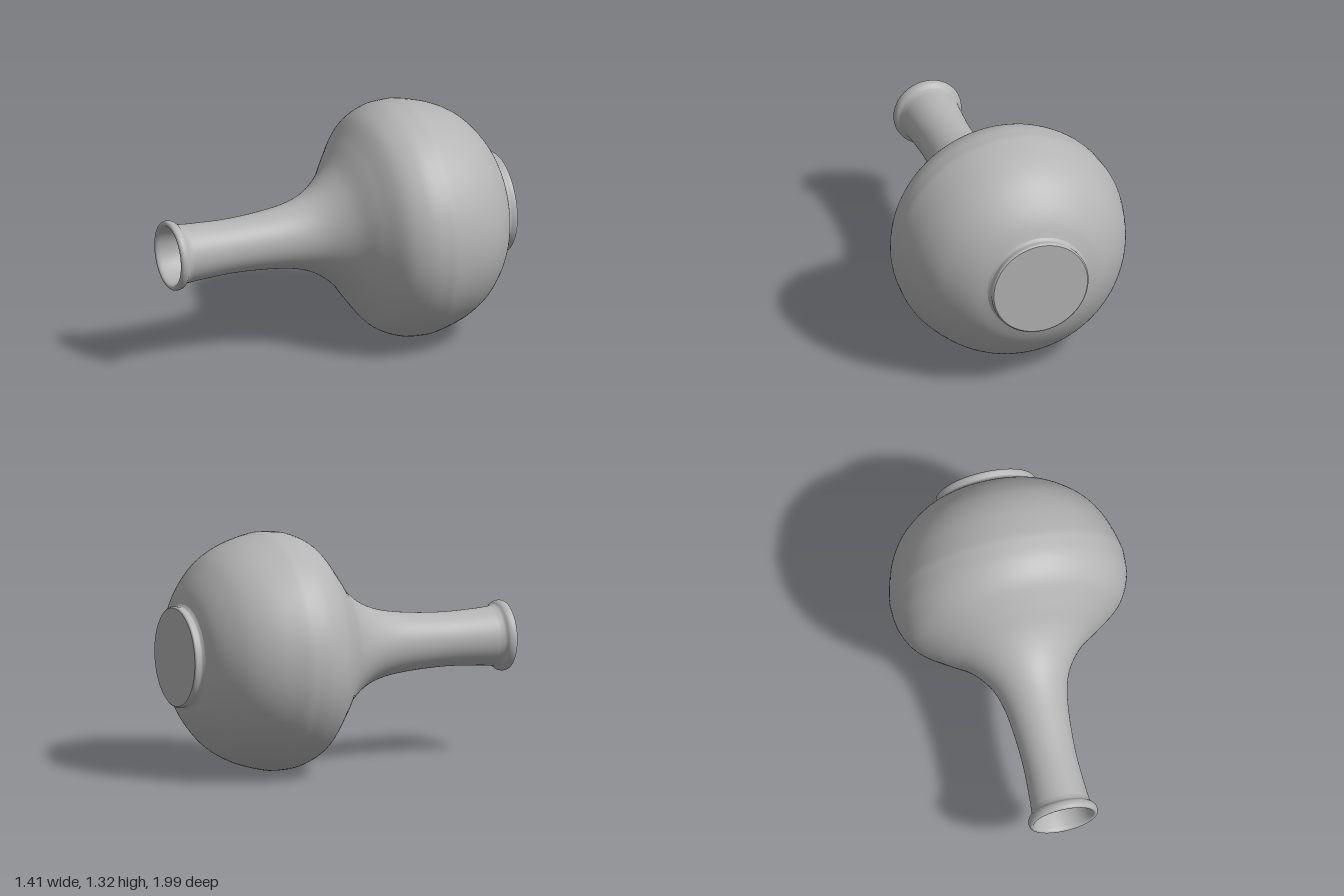
import * as THREE from 'three';

export function createModel() {
  const model = new THREE.Group();
  model.name = 'bottleVase';
  const clay = new THREE.MeshStandardMaterial({ color: 0xb4b4b4 });
  clay.name = 'grey clay';

  // Profiles are [radius, distance from the foot along the axis]
  const vectors = (pts) => pts.map(([r, s]) => new THREE.Vector2(r, s));
  const smooth = (pts, n) => new THREE.SplineCurve(vectors(pts)).getPoints(n);
  const vase = new THREE.Group();
  vase.name = 'vase';
  function turn(name, points) {
    const mesh = new THREE.Mesh(new THREE.LatheGeometry(points, 96), clay);
    mesh.name = name;
    vase.add(mesh);
  }

  // Flat foot disc and its short wall
  turn('footBase', vectors([[0, 0], [0.272, 0]]));
  turn('footRing', smooth([[0.272, 0], [0.28, 0.008], [0.279, 0.025], [0.277, 0.042], [0.29, 0.056]], 16));

  // Round belly flowing into the slender neck
  turn('bellyAndNeck', smooth([
    [0.29, 0.056], [0.375, 0.092], [0.46, 0.15], [0.545, 0.235], [0.612, 0.355],
    [0.655, 0.505], [0.66, 0.58], [0.647, 0.68], [0.59, 0.79], [0.468, 0.89],
    [0.335, 0.99], [0.238, 1.11], [0.187, 1.24], [0.162, 1.41], [0.151, 1.62],
    [0.157, 1.8], [0.164, 1.9],
  ], 110));

  // Flared, rolled lip
  turn('lip', smooth([
    [0.164, 1.9], [0.172, 1.925], [0.189, 1.942], [0.195, 1.962],
    [0.192, 1.98], [0.181, 1.988], [0.169, 1.983], [0.162, 1.965],
  ], 32));

  // Hollow inside of the neck
  turn('neckInterior', smooth([
    [0.162, 1.965], [0.152, 1.9], [0.143, 1.75], [0.137, 1.6], [0.139, 1.45], [0.142, 1.38],
  ], 24));
  turn('neckInteriorEnd', vectors([[0.142, 1.38], [0, 1.38]]));

  // Lay the vase on its side, mouth to the front
  const foot = new THREE.Vector3(0.295, 0.674, -0.886);
  const mouth = new THREE.Vector3(-0.54, 0.655, 0.915);
  const axis = mouth.sub(foot).normalize();
  vase.position.copy(foot);
  vase.quaternion.setFromUnitVectors(new THREE.Vector3(0, 1, 0), axis);
  model.add(vase);
  return model;
}
